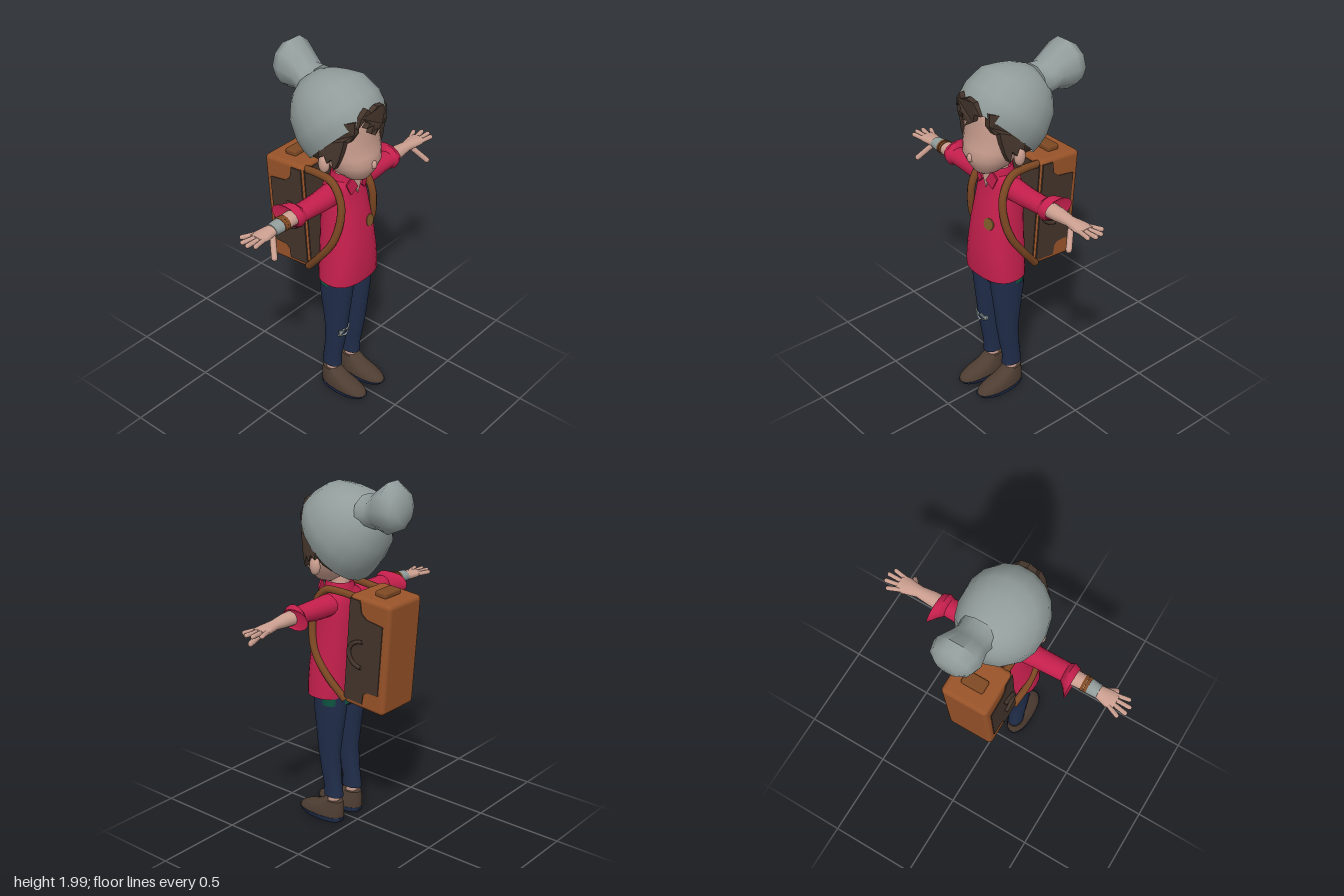
import * as THREE from 'three';
import { toCreasedNormals } from 'three/addons/utils/BufferGeometryUtils.js';
import { RoundedBoxGeometry } from 'three/addons/geometries/RoundedBoxGeometry.js';

const V = (x, y, z) => new THREE.Vector3(x, y, z);
const mat = (name, color) => {
  const m = new THREE.MeshStandardMaterial({ color, side: THREE.DoubleSide });
  m.name = name;
  return m;
};

// Superellipse cross-section around c, spanned by u and v
function ring(c, u, v, a, b, n, p) {
  const f = (t) => Math.sign(t) * Math.abs(t) ** (2 / p);
  return Array.from({ length: n }, (_, i) => {
    const t = (i / n) * Math.PI * 2;
    return c.clone().addScaledVector(u, a * f(Math.cos(t))).addScaledVector(v, b * f(Math.sin(t)));
  });
}

// Closed skin over a row of cross-sections (u x v points along the row)
function loft(rings, crease = 0.9, capStart = true, capEnd = true) {
  const n = rings[0].length, pts = rings.flat(), idx = [];
  for (let i = 0; i < rings.length - 1; i++) {
    for (let j = 0; j < n; j++) {
      const a = i * n + j, b = i * n + (j + 1) % n;
      idx.push(a, b, b + n, a, b + n, a + n);
    }
  }
  const cap = (r, start, flip) => {
    const k = pts.length;
    pts.push(r.reduce((s, p) => s.add(p), V(0, 0, 0)).divideScalar(n));
    for (let j = 0; j < n; j++) {
      const a = start + j, b = start + (j + 1) % n;
      idx.push(...(flip ? [k, b, a] : [k, a, b]));
    }
  };
  if (capStart) cap(rings[0], 0, true);
  if (capEnd) cap(rings[rings.length - 1], (rings.length - 1) * n, false);
  const g = new THREE.BufferGeometry().setFromPoints(pts);
  g.setIndex(idx);
  return toCreasedNormals(g, crease);
}

// Upright loft, rows of [y, halfWidth, zFront, zBack, centreX]
const upright = (rows, p = 2.2, n = 20, ...rest) => loft(rows.map(([y, w, zf, zb, cx = 0]) =>
  ring(V(cx, y, (zf + zb) / 2), V(1, 0, 0), V(0, 0, -1), w, (zf - zb) / 2, n, p)), ...rest);

// Sideways loft, rows of [x, halfHeight, halfDepth, y, z]
const sideways = (rows, n = 14) => loft(rows.map(([x, h, d, y, z]) =>
  ring(V(x, y, z), V(0, 1, 0), V(0, 0, 1), h, d, n, 2)));

function bend(g, fn) {
  const p = g.attributes.position, v = V(0, 0, 0);
  for (let i = 0; i < p.count; i++) {
    fn(v.fromBufferAttribute(p, i));
    p.setXYZ(i, v.x, v.y, v.z);
  }
  g.computeVertexNormals();
  return g;
}

// Mirror across x and restore the winding
function mirrored(geo) {
  const g = geo.index ? geo.toNonIndexed() : geo.clone();
  for (const key of ['position', 'normal']) {
    const at = g.attributes[key];
    for (let i = 0; i < at.count; i += 3) {
      const [a, b, c] = [0, 1, 2].map((k) => V(0, 0, 0).fromBufferAttribute(at, i + k));
      [a, c, b].forEach((q, k) => at.setXYZ(i + k, -q.x, q.y, q.z));
    }
  }
  return g;
}

const plate = (pts, depth) => new THREE.ExtrudeGeometry(
  new THREE.Shape(pts.map(([x, y]) => new THREE.Vector2(x, y))), { depth, bevelEnabled: false });

function capsule(a, b, r) {
  const d = b.clone().sub(a);
  const g = new THREE.CapsuleGeometry(r, d.length(), 3, 8);
  g.applyQuaternion(new THREE.Quaternion().setFromUnitVectors(V(0, 1, 0), d.normalize()));
  const m = a.clone().add(b).multiplyScalar(0.5);
  return g.translate(m.x, m.y, m.z);
}

export function createModel() {
  const skin = mat('skin', 0xcb9f90), knit = mat('grey knit', 0x929d9b), dark = mat('dark brown', 0x43342b);
  const red = mat('red cloth', 0xc41f4c), denim = mat('denim', 0x202d4a), shoeMat = mat('shoe brown', 0x4e3d32);
  const leather = mat('leather', 0x985329), strapMat = mat('strap brown', 0x7d4823);
  const green = mat('green cloth', 0x0e5442), olive = mat('olive patch', 0x7d5a2a);
  const model = new THREE.Group();
  const add = (name, geo, m, parent = model) => {
    const mesh = new THREE.Mesh(geo, m);
    mesh.name = name;
    parent.add(mesh);
    return mesh;
  };
  const pair = (name, geo, m, parent = model) => {
    add(name + 'Left', geo, m, parent);
    add(name + 'Right', mirrored(geo), m, parent);
  };

  // Head, ears and neck
  add('head', upright([[1.383, 0.035, 0.25, 0.16], [1.4, 0.07, 0.268, 0.12], [1.44, 0.115, 0.292, 0.07],
    [1.49, 0.146, 0.312, 0.03], [1.54, 0.165, 0.3, 0], [1.61, 0.177, 0.284, -0.03], [1.7, 0.183, 0.291, -0.05],
    [1.78, 0.165, 0.285, -0.05], [1.86, 0.11, 0.2, 0]], 2.1, 24, 1.2), skin);
  add('nose', new THREE.SphereGeometry(0.02, 10, 8).scale(0.9, 1.2, 0.8).translate(0, 1.49, 0.307), skin);
  pair('ear', new THREE.SphereGeometry(1, 10, 8).scale(0.024, 0.05, 0.034).translate(0.184, 1.512, 0.135), skin);
  add('neck', new THREE.CylinderGeometry(0.048, 0.055, 0.14, 14).translate(0, 1.36, 0.12), skin);

  // Hat and scalp hair, in slices parallel to the tilted rim: [t, sFront, sBack, halfWidth]
  const along = V(0, -0.697, -0.717), up = V(0, 0.717, -0.697);
  const slices = (rows) => rows.map(([t, s0, s1, w]) =>
    ring(V(0, 1.77, 0.31).addScaledVector(along, (s0 + s1) / 2).addScaledVector(up, t),
      V(1, 0, 0), along, w, (s1 - s0) / 2, 18, 2.1));
  add('hat', loft(slices([[0, 0, 0.488, 0.203], [0.05, -0.025, 0.488, 0.224], [0.11, -0.027, 0.482, 0.231],
    [0.216, 0, 0.455, 0.208], [0.28, 0.07, 0.405, 0.165], [0.32, 0.12, 0.37, 0.125], [0.355, 0.19, 0.31, 0.06]]),
  1.2, false), knit);
  add('scalpHair', loft(slices([[-0.03, 0.11, 0.43, 0.178], [0.02, 0.05, 0.475, 0.196]])), dark);
  // Pompom, rows of [z, y, x, halfWidth, halfHeight]
  add('pompom', loft([[-0.08, 1.8, 0.03, 0.11, 0.1], [-0.135, 1.81, 0.035, 0.1, 0.088], [-0.19, 1.84, 0.042, 0.105, 0.105],
    [-0.265, 1.86, 0.05, 0.13, 0.139], [-0.32, 1.855, 0.055, 0.112, 0.108], [-0.35, 1.845, 0.055, 0.065, 0.06]]
    .map(([z, y, x, w, h]) => ring(V(x, y, z), V(1, 0, 0), V(0, -1, 0), w, h, 10, 2)), 1.1), knit);

  // Fringe and side locks
  add('fringe', bend(plate([[-0.115, 1.735], [-0.1, 1.79], [-0.065, 1.83], [-0.045, 1.805], [0, 1.825], [0.05, 1.815],
    [0.09, 1.75], [0.055, 1.755], [0.045, 1.71], [-0.015, 1.67], [0.003, 1.705], [-0.045, 1.69], [-0.025, 1.73],
    [-0.07, 1.725], [-0.05, 1.75], [-0.085, 1.77]], 0.03), (v) => { v.z += 0.293 - 2 * v.x * v.x; }), dark);
  const lock = plate([[0.28, 1.77], [0.28, 1.7], [0.262, 1.66], [0.245, 1.67], [0.235, 1.61], [0.222, 1.55], [0.2, 1.5],
    [0.188, 1.56], [0.165, 1.53], [0.15, 1.57], [0.12, 1.55], [0.11, 1.62], [0.16, 1.7], [0.22, 1.76]], 0.035);
  pair('sideLock', bend(lock, (v) => {
    const z = v.x, depth = v.z;
    v.set(0.168 * Math.sqrt(Math.max(0, 1 - ((z - 0.12) / 0.19) ** 2)) + 0.035 - depth, v.y, z);
  }), dark);

  // Shirt, collar and patch
  add('shirt', upright([[0.765, 0.176, 0.27, 0.025], [0.82, 0.172, 0.274, 0.02], [0.93, 0.16, 0.27, 0.018],
    [1.06, 0.146, 0.255, 0.015], [1.2, 0.132, 0.225, 0.015], [1.29, 0.127, 0.202, 0.018], [1.335, 0.115, 0.195, 0.03],
    [1.362, 0.08, 0.19, 0.045]], 2.5, 24), red);
  add('collar', upright([[1.33, 0.09, 0.2, 0.035], [1.36, 0.082, 0.205, 0.04], [1.4, 0.072, 0.2, 0.045]],
    2, 18, 0.9, false, false), red);
  add('openNeck', plate([[-0.035, 1.375], [0, 1.285], [0.035, 1.375]], 0.008).translate(0, 0, 0.2), skin);
  pair('collarFlap', plate([[0.012, 1.335], [0.055, 1.295], [0.085, 1.36], [0.05, 1.4]], 0.009)
    .rotateY(0.25).translate(0, 0, 0.215), red);
  const patch = add('shirtPatch', new THREE.CylinderGeometry(0.034, 0.034, 0.008, 9).rotateX(Math.PI / 2), olive);
  patch.position.set(0.06, 1.1, 0.24);
  patch.rotation.set(-0.2, 0.12, 0);
  add('undershirt', upright([[0.72, 0.15, 0.19, 0.022], [0.79, 0.155, 0.2, 0.022]]), green);

  // Arms: sleeve, rolled cuff, forearm, fingers
  pair('sleeve', sideways([[0.07, 0.062, 0.065, 1.285, 0.11], [0.2, 0.056, 0.057, 1.282, 0.113],
    [0.3, 0.048, 0.055, 1.287, 0.114], [0.38, 0.045, 0.054, 1.29, 0.114]]), red);
  pair('cuff', sideways([[0.35, 0.046, 0.056, 1.29, 0.112], [0.375, 0.068, 0.072, 1.29, 0.106],
    [0.41, 0.055, 0.09, 1.29, 0.075], [0.4, 0.044, 0.055, 1.29, 0.11]]), red);
  pair('forearm', sideways([[0.36, 0.04, 0.046, 1.29, 0.112], [0.45, 0.036, 0.042, 1.29, 0.112],
    [0.53, 0.026, 0.033, 1.288, 0.11], [0.57, 0.026, 0.041, 1.286, 0.107], [0.61, 0.021, 0.05, 1.285, 0.104],
    [0.65, 0.014, 0.048, 1.286, 0.103]]), skin);
  [[0.625, 0.068, 0.685, 0.042], [0.64, 0.09, 0.715, 0.076], [0.64, 0.115, 0.72, 0.114], [0.63, 0.138, 0.7, 0.149]]
    .forEach(([x0, z0, x1, z1], i) => pair('finger' + i, capsule(V(x0, 1.286, z0), V(x1, 1.288, z1), 0.0125), skin));
  pair('thumb', capsule(V(0.565, 1.265, 0.135), V(0.615, 1.195, 0.19), 0.016), skin);
  add('wristWrap', sideways([[-0.548, 0.031, 0.039, 1.288, 0.11], [-0.49, 0.036, 0.042, 1.289, 0.111]]), knit);
  for (const x of [-0.482, -0.463]) {
    add('bracelet', sideways([[x - 0.008, 0.037, 0.043, 1.29, 0.112], [x + 0.008, 0.04, 0.046, 1.29, 0.112]]), strapMat);
  }

  // Trousers, torn knee, ankles and shoes
  pair('trouserLeg', upright([[0.155, 0.044, 0.167, 0.046, 0.08], [0.22, 0.042, 0.165, 0.055, 0.081],
    [0.3, 0.048, 0.18, 0.065, 0.079], [0.42, 0.053, 0.2, 0.068, 0.079], [0.55, 0.06, 0.215, 0.05, 0.078],
    [0.68, 0.069, 0.23, 0.03, 0.076], [0.78, 0.074, 0.235, 0.03, 0.074]], 2.2, 16), denim);
  add('hips', upright([[0.69, 0.1, 0.2, 0.06], [0.73, 0.143, 0.232, 0.03], [0.8, 0.145, 0.235, 0.03]]), denim);
  add('tornKnee', bend(plate([[-0.122, 0.4], [-0.08, 0.397], [-0.035, 0.405], [-0.03, 0.44], [-0.05, 0.428], [-0.062, 0.45],
    [-0.08, 0.43], [-0.1, 0.455], [-0.105, 0.435], [-0.125, 0.445]], 0.008),
  (v) => { v.z += 0.199 - 9 * (v.x + 0.08) ** 2 + Math.max(0, v.y - 0.43) * 0.5; }), knit);
  pair('ankle', new THREE.CylinderGeometry(0.036, 0.034, 0.1, 12).translate(0.08, 0.14, 0.108), skin);
  pair('shoe', upright([[0.025, 0.064, 0.347, 0.045, 0.08], [0.05, 0.063, 0.337, 0.043, 0.08], [0.075, 0.056, 0.285, 0.043, 0.08],
    [0.095, 0.049, 0.22, 0.045, 0.08], [0.125, 0.042, 0.17, 0.05, 0.08], [0.128, 0.034, 0.155, 0.062, 0.08]], 2.3, 18), shoeMat);
  pair('sole', upright([[0, 0.057, 0.31, 0.055, 0.08], [0.012, 0.064, 0.335, 0.045, 0.08], [0.03, 0.066, 0.35, 0.043, 0.08]],
    2.3, 18, 0.6), denim);

  // Backpack with side panels and handles, tilted back
  const pack = new THREE.Group();
  pack.name = 'backpack';
  pack.position.set(0, 1.072, -0.167);
  pack.rotation.x = -0.078;
  model.add(pack);
  add('packBody', new RoundedBoxGeometry(0.27, 0.622, 0.266, 3, 0.025), leather, pack);
  add('packFrontPanel', new THREE.BoxGeometry(0.24, 0.57, 0.008).translate(0, 0, 0.133), dark, pack);
  const panel = plate([[0.125, 0.29], [0.06, 0.29], [0.045, 0.225], [0.01, 0.2], [-0.095, 0.19], [-0.095, -0.2], [-0.02, -0.205],
    [0.0, -0.225], [0.005, -0.28], [0.125, -0.28]], 0.008);
  pair('packSidePanel', panel.rotateY(-Math.PI / 2).translate(0.14, 0, 0), dark, pack);
  pair('sideHandle', new THREE.TorusGeometry(0.072, 0.011, 8, 14, Math.PI).rotateZ(-Math.PI / 2).rotateY(-Math.PI / 2)
    .scale(1, 1, 1.2).translate(0.148, 0.0, 0.02), dark, pack);
  add('topHandle', new RoundedBoxGeometry(0.13, 0.035, 0.075, 2, 0.012).translate(0, 0.322, -0.01), strapMat, pack);

  // Shoulder straps
  const path = new THREE.CatmullRomCurve3([V(0.095, 1.362, -0.08), V(0.1, 1.372, 0.03), V(0.112, 1.365, 0.13),
    V(0.122, 1.27, 0.195), V(0.137, 1.15, 0.2), V(0.156, 1.03, 0.168), V(0.157, 0.91, 0.085), V(0.13, 0.785, -0.02)]);
  pair('strap', new THREE.TubeGeometry(path, 32, 0.021, 8), strapMat);
  return model;
}
